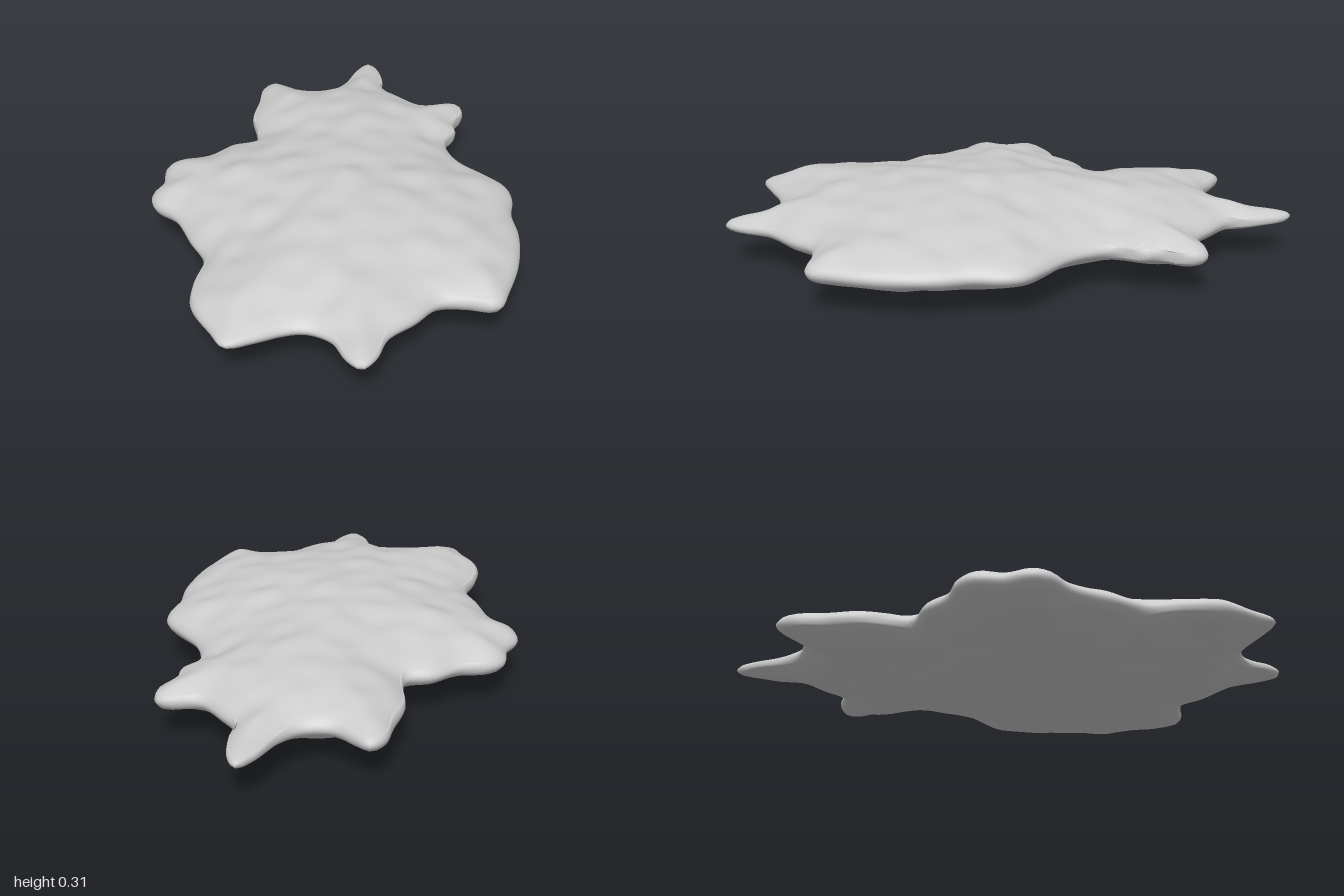
import * as THREE from 'three';
import { mergeVertices } from 'three/addons/utils/BufferGeometryUtils.js';

// Spiky outline seen from above, as [x, z]
const OUTLINE = [
  [0.11, -1], [0.145, -0.96], [0.17, -0.86], [0.175, -0.77], [0.24, -0.7], [0.33, -0.63], [0.43, -0.65],
  [0.475, -0.64], [0.487, -0.58], [0.45, -0.49], [0.455, -0.43], [0.415, -0.35], [0.425, -0.28], [0.47, -0.19],
  [0.55, -0.11], [0.625, -0.03], [0.64, 0.04], [0.63, 0.14], [0.647, 0.27], [0.632, 0.45], [0.59, 0.6],
  [0.565, 0.67], [0.54, 0.685], [0.45, 0.672], [0.36, 0.68], [0.29, 0.76], [0.2, 0.85], [0.165, 0.95],
  [0.12, 1], [0.07, 0.96], [0.02, 0.87], [-0.06, 0.83], [-0.13, 0.84], [-0.22, 0.88], [-0.31, 0.91],
  [-0.36, 0.84], [-0.435, 0.71], [-0.44, 0.6], [-0.42, 0.46], [-0.48, 0.34], [-0.55, 0.2], [-0.63, 0.13],
  [-0.65, 0.06], [-0.62, -0.02], [-0.62, -0.13], [-0.57, -0.18], [-0.48, -0.21], [-0.4, -0.29],
  [-0.31, -0.33], [-0.31, -0.4], [-0.335, -0.52], [-0.32, -0.65], [-0.31, -0.76], [-0.27, -0.805],
  [-0.22, -0.78], [-0.14, -0.73], [-0.03, -0.755], [0.02, -0.82], [0.065, -0.94],
];
const CENTRE = [0.03, 0.05];
const SEGMENTS = 240, RINGS = 36, MID_Y = 0.157;

// Soft lumps over the skin: waves in many directions, different on each side
function lumps(x, z, side) {
  let sum = 0;
  for (let k = 0; k < 9; k++) {
    const angle = 2.4 * k + 0.3 * side, frequency = 20 + 3.5 * k;
    sum += Math.sin(frequency * (x * Math.cos(angle) + z * Math.sin(angle)) + k * k + side);
  }
  return 0.0016 * sum;
}

// Smoothed distance to the rim, which leaves no ridges along the middle
function rimDistance(x, z, rim, spacing) {
  let sum = 0;
  for (const p of rim) sum += spacing / Math.max((x - p.x) ** 2 + (z - p.y) ** 2, 1e-8) ** 4;
  return (sum * 16 / (5 * Math.PI)) ** (-1 / 7);
}

// The body swells with the square root of the distance from its rim
function halfThickness(x, z, side, rim, spacing) {
  const d = rimDistance(x, z, rim, spacing);
  const tipTaper = 1 - 0.35 * THREE.MathUtils.smoothstep(Math.abs(z), 0.7, 0.95);
  return (side > 0 ? 0.205 : 0.213) * Math.sqrt(d) * tipTaper
    + lumps(x, z, side) * Math.min(d / 0.08, 1);
}

function bodyGeometry() {
  const curve = new THREE.CatmullRomCurve3(OUTLINE.map(([x, z]) => new THREE.Vector3(x, 0, z)), true);
  curve.arcLengthDivisions = 1000;
  const rim = curve.getSpacedPoints(SEGMENTS).slice(0, SEGMENTS).map(p => new THREE.Vector2(p.x, p.z));
  const spacing = curve.getLength() / SEGMENTS;
  const positions = [], index = [];

  // Rings run from the top centre out to the rim and back under to the bottom centre
  for (let r = 0; r <= 2 * RINGS; r++) {
    const side = r <= RINGS ? 1 : -1;
    const u = 1 - Math.abs(r - RINGS) / RINGS;
    const t = 1 - (1 - u) ** 1.6;
    for (const p of rim) {
      const x = THREE.MathUtils.lerp(CENTRE[0], p.x, t);
      const z = THREE.MathUtils.lerp(CENTRE[1], p.y, t);
      const h = r === RINGS ? 0 : halfThickness(x, z, side, rim, spacing);
      positions.push(x, MID_Y + side * h, z);
    }
  }
  for (let r = 0; r < 2 * RINGS; r++) {
    for (let i = 0; i < SEGMENTS; i++) {
      const j = (i + 1) % SEGMENTS;
      const a = r * SEGMENTS + i, b = r * SEGMENTS + j;
      const c = a + SEGMENTS, d = b + SEGMENTS;
      if (r > 0) index.push(a, b, d);
      if (r < 2 * RINGS - 1) index.push(a, d, c);
    }
  }
  let geometry = new THREE.BufferGeometry();
  geometry.setAttribute('position', new THREE.Float32BufferAttribute(positions, 3));
  geometry.setIndex(index);
  geometry = mergeVertices(geometry, 1e-5);

  // Rest the underside on the ground
  geometry.computeBoundingBox();
  geometry.translate(0, -geometry.boundingBox.min.y, 0);
  geometry.computeVertexNormals();
  return geometry;
}

export function createModel() {
  const group = new THREE.Group();
  group.name = 'spikyFlatRock';
  const body = new THREE.Mesh(bodyGeometry(), new THREE.MeshStandardMaterial({ color: 0xcccccc }));
  body.name = 'rockBody';
  group.add(body);
  return group;
}
